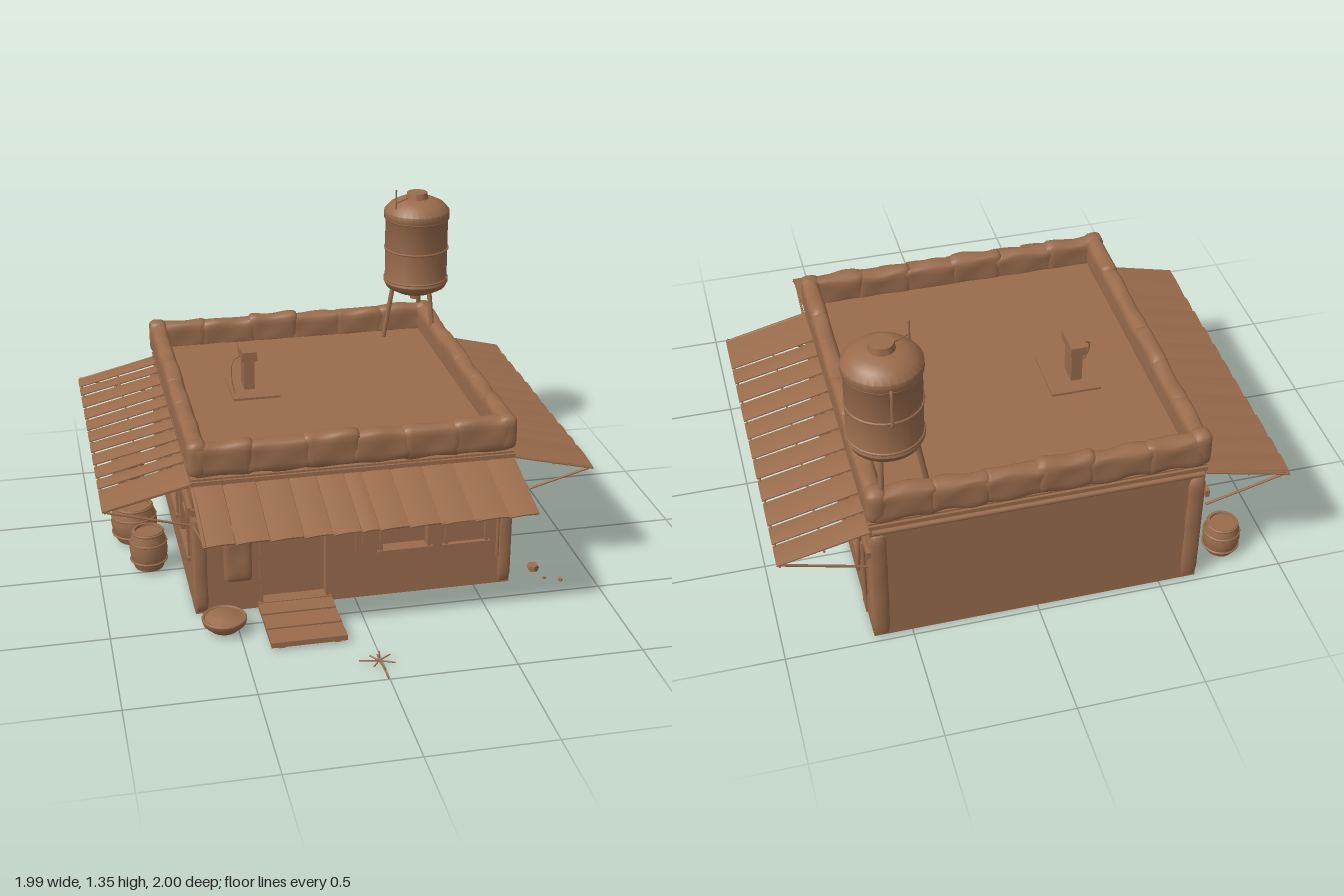
import * as THREE from 'three';
import { toCreasedNormals } from 'three/addons/utils/BufferGeometryUtils.js';

const clay = new THREE.MeshStandardMaterial({ color: 0x9a6c4c, side: THREE.DoubleSide });
clay.name = 'clay brown';

const V = (x, y, z) => new THREE.Vector3(x, y, z);

function add(parent, name, geo, x = 0, y = 0, z = 0) {
  const m = new THREE.Mesh(geo, clay);
  m.name = name;
  m.position.set(x, y, z);
  parent.add(m);
  return m;
}

function box(parent, name, x0, x1, y0, y1, z0, z1) {
  return add(parent, name, new THREE.BoxGeometry(x1 - x0, y1 - y0, z1 - z0),
    (x0 + x1) / 2, (y0 + y1) / 2, (z0 + z1) / 2);
}

// straight round bar between two points
function bar(parent, name, a, b, r = 0.006) {
  const m = add(parent, name, new THREE.CylinderGeometry(r, r, a.distanceTo(b), 8));
  m.position.copy(a).lerp(b, 0.5);
  m.quaternion.setFromUnitVectors(V(0, 1, 0), b.clone().sub(a).normalize());
  return m;
}

function cable(parent, name, pts, r = 0.003) {
  return add(parent, name, new THREE.TubeGeometry(new THREE.CatmullRomCurve3(pts), 16, r, 5));
}

// worn block: a box with rounded edges and a gentle ripple
function worn(w, h, d, seed, amount = 0.006) {
  const n = (s) => Math.max(4, Math.min(12, Math.round(s / 0.02)));
  const g = new THREE.BoxGeometry(w, h, d, n(w), n(h), n(d));
  const p = g.attributes.position, r = Math.min(w, h, d) * 0.35;
  const half = V(w / 2 - r, h / 2 - r, d / 2 - r), low = half.clone().negate();
  for (let i = 0; i < p.count; i++) {
    const v = V().fromBufferAttribute(p, i);
    const core = v.clone().clamp(low, half);
    const out = v.clone().sub(core);
    if (out.length() > r) out.setLength(r);
    v.copy(core).add(out);
    const k = amount * Math.sin(v.x * 31 + seed * 2.1) * Math.cos(v.z * 27 + v.y * 35 + seed);
    p.setXYZ(i, v.x, v.y + k, v.z + k * 0.5);
  }
  return toCreasedNormals(g, 0.9);
}

function lathe(pts, seg = 24) {
  return toCreasedNormals(new THREE.LatheGeometry(pts.map(([r, y]) => new THREE.Vector2(r, y)), seg), 0.7);
}

// wall in its own frame: outer face at z = 0, openings as [x0, x1, y0, y1]
function wall(parent, name, width, openings) {
  const rect = (P, x0, x1, y0, y1) => new P([[x0, y0], [x1, y0], [x1, y1], [x0, y1]].map(([x, y]) => new THREE.Vector2(x, y)));
  const s = rect(THREE.Shape, -width / 2, width / 2, 0.005, 0.6);
  openings.forEach((o) => s.holes.push(rect(THREE.Path, ...o)));
  const g = new THREE.Group();
  g.name = name;
  parent.add(g);
  add(g, 'wallPanel', new THREE.ExtrudeGeometry(s, { depth: 0.05, bevelEnabled: false }), 0, 0, -0.05);
  return g;
}

function frame(g, name, x0, x1, y0, y1, cross, t = 0.012) {
  box(g, name + 'Side', x0, x0 + t, y0, y1, -0.04, 0.01);
  box(g, name + 'Side', x1 - t, x1, y0, y1, -0.04, 0.01);
  box(g, name + 'Top', x0, x1, y1 - t, y1, -0.04, 0.01);
  box(g, name + 'Sill', x0 - 0.01, x1 + 0.01, y0 - t, y0 + 0.003, -0.04, 0.014);
  if (!cross) return;
  const c = (x0 + x1) / 2, m = (y0 + y1) / 2;
  box(g, name + 'Mullion', c - 0.006, c + 0.006, y0, y1, -0.025, 0);
  box(g, name + 'Transom', x0, x1, m - 0.006, m + 0.006, -0.025, 0);
}

// sloping canopy of lapped sheets; edges run along x, slope falls towards +z
function awning(parent, name, edges) {
  const g = new THREE.Group();
  g.name = name;
  parent.add(g);
  const first = edges[0], last = edges[edges.length - 1];
  for (let i = 0; i < edges.length - 1; i++) {
    const w = edges[i + 1] - edges[i] - 0.004;
    const geo = new THREE.BoxGeometry(w, 0.005, 0.358, 6, 1, 1), p = geo.attributes.position;
    for (let j = 0; j < p.count; j++) {
      const u = p.getX(j) / w * 2;
      p.setY(j, p.getY(j) + 0.004 * (1 - u * u) + 0.004 * u);
    }
    const m = add(g, 'roofSheet', toCreasedNormals(geo, 0.5), (edges[i] + edges[i + 1]) / 2, 0.528, 0.166);
    m.rotation.x = 0.24 + 0.008 * Math.sin(i * 5);
  }
  bar(g, 'outerRail', V(first, 0.486, 0.33), V(last, 0.486, 0.33), 0.004);
  bar(g, 'middleRail', V(first, 0.522, 0.165), V(last, 0.522, 0.165), 0.004);
  for (const x of [first + 0.012, last - 0.012]) {
    bar(g, 'rafter', V(x, 0.565, 0), V(x, 0.486, 0.335), 0.005);
    bar(g, 'strut', V(x, 0.395, 0.005), V(x, 0.486, 0.335), 0.005);
  }
  box(g, 'wallBeam', first, last, 0.445, 0.475, -0.005, 0.012);
  return g;
}

function barrel(parent, x, z, r, h) {
  const g = new THREE.Group();
  g.name = 'barrel';
  g.position.set(x, 0.01, z);
  parent.add(g);
  add(g, 'barrelBody', lathe([[0, 0], [r * 0.75, 0], [r * 0.93, h * 0.25], [r, h * 0.5], [r * 0.93, h * 0.75],
    [r * 0.78, h], [r * 0.68, h], [r * 0.66, h * 0.93], [0, h * 0.93]], 18));
  [0.22, 0.7, 0.95].forEach((k) => {
    const hoop = add(g, 'barrelHoop', new THREE.TorusGeometry(r * (k > 0.9 ? 0.8 : 0.94), 0.005, 6, 20), 0, h * k, 0);
    hoop.rotation.x = Math.PI / 2;
  });
}

export function createModel() {
  const root = new THREE.Group();
  root.name = 'shopHouse';

  // body and walls
  box(root, 'innerCore', -0.6, 0.6, 0.005, 0.6, -0.93, 0.34);
  box(root, 'roofFloor', -0.62, 0.62, 0.59, 0.635, -0.96, 0.36);
  box(root, 'roofRim', -0.652, 0.652, 0.575, 0.592, -0.985, 0.4);
  const front = wall(root, 'frontWall', 1.3, [[-0.39, -0.11, 0.03, 0.45], [0.1, 0.31, 0.21, 0.45], [0.37, 0.55, 0.21, 0.45]]);
  front.position.z = 0.39;
  frame(front, 'doorFrame', -0.39, -0.11, 0.03, 0.45, false);
  frame(front, 'shopWindow', 0.1, 0.31, 0.21, 0.45, false);
  frame(front, 'shutter', 0.37, 0.55, 0.21, 0.45, false);
  box(front, 'shutterPanel', 0.375, 0.545, 0.21, 0.445, -0.03, -0.006);
  frame(front, 'ventBox', -0.07, 0.07, 0.35, 0.42, false);
  box(front, 'ventSlot', -0.045, 0.045, 0.37, 0.4, 0, 0.008);
  box(front, 'keypad', 0, 0.06, 0.22, 0.315, 0, 0.014);
  box(front, 'keypadSlot', 0.025, 0.037, 0.245, 0.3, 0.014, 0.02);
  const back = wall(root, 'backWall', 1.3, []);
  back.rotation.y = Math.PI;
  back.position.z = -0.975;
  for (const s of [1, -1]) {
    const spans = [[0.03, 0.28], [-0.34, -0.1], [-0.76, -0.49]]
      .map(([a, b]) => (s > 0 ? [-b - 0.295, -a - 0.295] : [a + 0.295, b + 0.295]));
    const w = wall(root, s > 0 ? 'leftWall' : 'rightWall', 1.36, spans.map(([a, b]) => [a, b, 0.205, 0.45]));
    w.rotation.y = s * Math.PI / 2;
    w.position.set(s * 0.65, 0, -0.295);
    spans.forEach(([a, b]) => frame(w, 'window', a, b, 0.205, 0.45, true));
    // corner posts and pipes
    add(root, 'backCornerPost', worn(0.075, 0.53, 0.08, s, 0.003), s * 0.62, 0.275, -0.948);
    add(root, 'frontCornerPost', worn(0.06, 0.44, 0.05, s + 3, 0.003), s * 0.625, 0.23, 0.372);
    box(root, 'sidePilaster', s * 0.65 - 0.01, s * 0.65 + 0.006, 0.01, 0.45, -0.85, -0.78);
    bar(root, 'drainPipe', V(s * 0.662, 0.14, -0.88), V(s * 0.662, 0.42, -0.88), 0.009);
    bar(root, 'hangingPole', V(s * 0.672, 0.2, -0.8), V(s * 0.662, 0.41, -0.82), 0.008);
    const a = awning(root, s > 0 ? 'leftAwning' : 'rightAwning',
      [-0.995, -0.88, -0.78, -0.645, -0.52, -0.4, -0.28, -0.17, -0.05, 0.07, 0.17, 0.38].map((z) => -s * z).sort((p, q) => p - q));
    a.rotation.y = s * Math.PI / 2;
    a.position.x = s * 0.655;
  }
  awning(root, 'frontAwning', [-0.655, -0.53, -0.4, -0.27, -0.16, -0.05, 0.02, 0.135, 0.26, 0.39, 0.53, 0.65]).position.z = 0.39;
  bar(root, 'backRail', V(-0.64, 0.56, -0.982), V(0.64, 0.56, -0.982), 0.012);

  // parapet of worn blocks
  const cuts = [0, 0.16, 0.35, 0.5, 0.67, 0.83, 1];
  for (let i = 0; i < 6; i++) {
    const mid = (cuts[i] + cuts[i + 1]) / 2, len = cuts[i + 1] - cuts[i], h = 0.137 + 0.006 * Math.sin(i * 4);
    for (const s of [1, -1]) {
      add(root, 'parapetBlock', worn(1.24 * len + 0.045, h, 0.072, i + s, 0.006), -0.62 + 1.24 * mid, 0.605 + h / 2, s > 0 ? 0.368 : -0.96);
      add(root, 'parapetBlock', worn(0.07, h, 1.32 * len + 0.045, i + s + 7, 0.006), s * 0.622, 0.605 + h / 2, -0.955 + 1.32 * mid);
    }
  }
  for (const x of [-0.622, 0.618]) for (const z of [-0.957, 0.365])
    add(root, 'parapetCorner', worn(0.08, 0.147, 0.08, x + z, 0.003), x, 0.68, z);

  // roof vent
  box(root, 'ventBase', -0.385, -0.185, 0.63, 0.645, -0.495, -0.25);
  box(root, 'ventStem', -0.325, -0.28, 0.64, 0.79, -0.43, -0.34);
  box(root, 'ventCap', -0.335, -0.27, 0.78, 0.82, -0.45, -0.32);
  cable(root, 'ventCable', [V(-0.33, 0.79, -0.38), V(-0.37, 0.77, -0.36), V(-0.38, 0.7, -0.33), V(-0.37, 0.645, -0.31)]);

  // water tank on a tripod
  const tank = new THREE.Group();
  tank.name = 'waterTank';
  tank.position.set(0.55, 0, -0.84);
  root.add(tank);
  add(tank, 'tankBody', lathe([[0, 0.86], [0.09, 0.86], [0.135, 0.885], [0.147, 0.91], [0.141, 0.93], [0.141, 1.2], [0.148, 1.21],
    [0.147, 1.24], [0.12, 1.27], [0.085, 1.287], [0.05, 1.293], [0.045, 1.32], [0, 1.322]], 32));
  [0.925, 1.065, 1.205].forEach((y) => {
    add(tank, 'tankBand', new THREE.TorusGeometry(0.142, 0.005, 6, 32), 0, y, 0).rotation.x = Math.PI / 2;
  });
  [[-1, 0], [0.36, 0.93], [0.36, -0.93]].forEach(([x, z]) =>
    bar(tank, 'tankLeg', V(x * 0.148, 0.64, z * 0.148), V(x * 0.105, 0.89, z * 0.105), 0.011));
  bar(tank, 'outletPipe', V(0, 0.82, 0), V(0, 0.88, 0), 0.025);
  bar(tank, 'antenna', V(-0.11, 1.2, 0.055), V(-0.11, 1.35, 0.055), 0.004);
  bar(tank, 'antennaArm', V(-0.11, 1.29, 0.055), V(-0.04, 1.3, 0.01), 0.003);
  cable(tank, 'tankPipe', [V(0, 1.22, -0.13), V(0, 1.21, -0.15), V(0, 1.12, -0.152), V(0, 1.06, -0.15), V(0, 1.05, -0.135)], 0.007);

  // entrance ramp of planks
  for (let i = 0; i < 6; i++) box(root, 'rampPlank', -0.4, -0.1, 0.012, 0.03 + (i % 2) * 0.004, 0.385 + i * 0.056, 0.436 + i * 0.056);
  for (const x of [-0.37, -0.15]) box(root, 'rampRunner', x, x + 0.025, 0.005, 0.018, 0.38, 0.71);

  // hanging cloth on the front
  bar(root, 'clothRod', V(-0.56, 0.385, 0.425), V(-0.41, 0.385, 0.425), 0.007);
  add(root, 'hangingCloth', worn(0.11, 0.23, 0.03, 5, 0.005), -0.483, 0.28, 0.435);
  add(root, 'clothFold', worn(0.14, 0.07, 0.045, 2, 0.004), -0.485, 0.37, 0.43);
  bar(root, 'frontPole', V(0.59, 0.14, 0.405), V(0.59, 0.44, 0.4), 0.007);

  // basket and barrels
  add(root, 'basket', lathe([[0, 0.012], [0.055, 0.012], [0.085, 0.04], [0.09, 0.06], [0.075, 0.062], [0.05, 0.075], [0, 0.08]], 20), -0.555, 0, 0.53);
  add(root, 'basketRim', new THREE.TorusGeometry(0.083, 0.007, 6, 24), -0.555, 0.06, 0.53).rotation.x = Math.PI / 2;
  barrel(root, -0.8, -0.86, 0.075, 0.145);
  barrel(root, -0.825, -0.3, 0.1, 0.165);
  barrel(root, -0.79, -0.04, 0.08, 0.17);

  // ground debris
  for (let i = 0; i < 7; i++) {
    const a = i * 0.9 + 0.2, r = 0.06 + 0.025 * Math.sin(i * 3);
    bar(root, 'twig', V(-0.015, 0.01, 0.88), V(-0.015 + Math.sin(a) * r, 0.006 + 0.006 * (i % 3), 0.88 + Math.cos(a) * r), 0.003);
  }
  bar(root, 'longTwig', V(-0.015, 0.018, 0.85), V(-0.005, 0.004, 0.998), 0.003);
  [[0.77, 0.03, 0.34, 0.026], [0.86, 0.01, 0.43, 0.01], [0.8, 0.009, 0.4, 0.008]].forEach(([x, y, z, r]) =>
    add(root, 'stone', new THREE.DodecahedronGeometry(r), x, y, z));
  return root;
}
